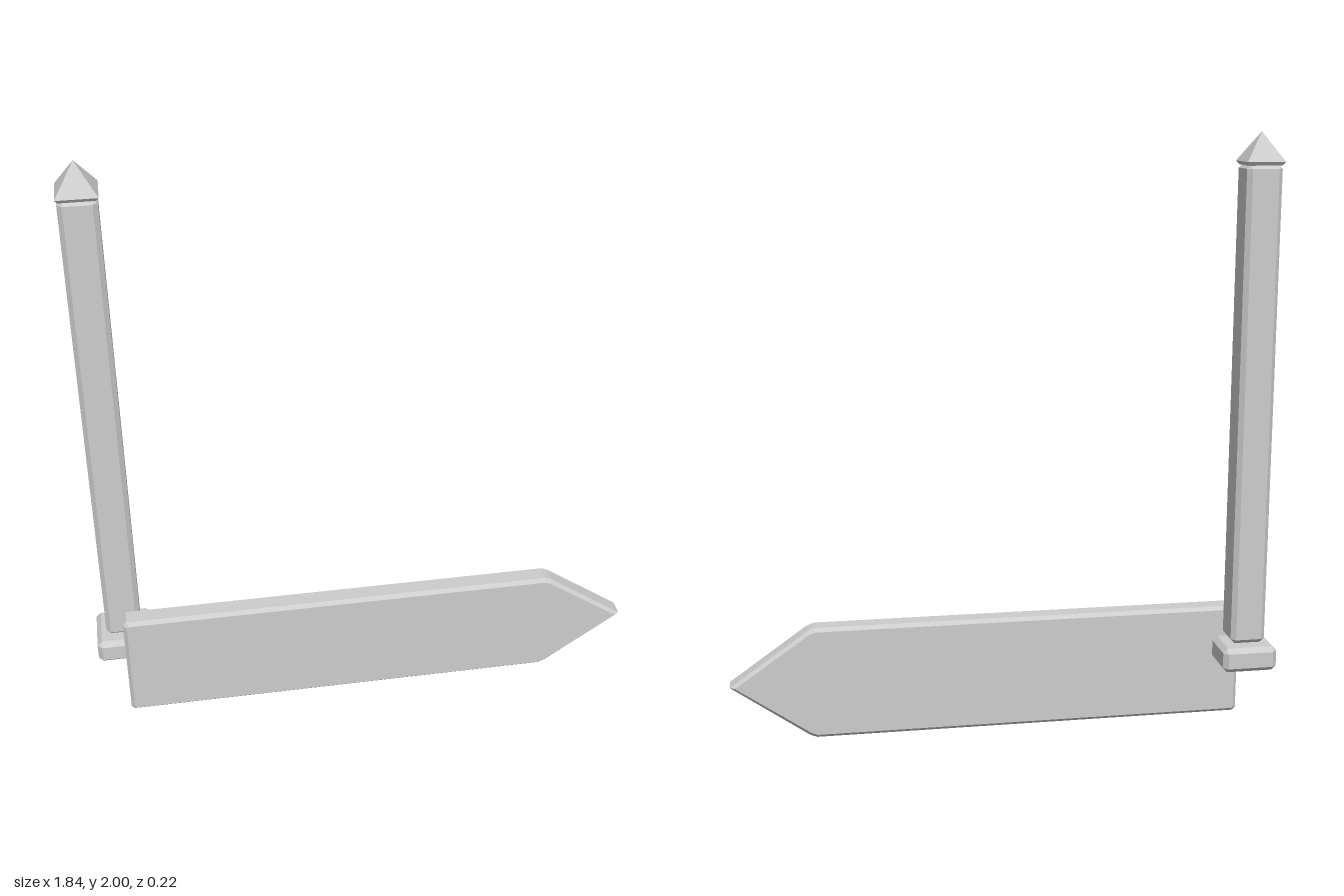
import * as THREE from 'three';
import { ConvexGeometry } from 'three/addons/geometries/ConvexGeometry.js';

const POST_X = -0.827;
const POST_Z = -0.017;

// Box with every edge chamfered by b
function chamferBox(w, h, d, b) {
  const [x, y, z] = [w / 2, h / 2, d / 2];
  const points = [];
  for (const sx of [-1, 1]) for (const sy of [-1, 1]) for (const sz of [-1, 1]) {
    points.push(
      new THREE.Vector3(sx * x, sy * (y - b), sz * (z - b)),
      new THREE.Vector3(sx * (x - b), sy * y, sz * (z - b)),
      new THREE.Vector3(sx * (x - b), sy * (y - b), sz * z)
    );
  }
  return new ConvexGeometry(points);
}

export function createModel() {
  const group = new THREE.Group();
  group.name = 'signpost';
  const grey = new THREE.MeshStandardMaterial({ color: 0xcccccc });
  grey.name = 'light grey';

  const add = (name, geometry, x, y, z) => {
    const mesh = new THREE.Mesh(geometry, grey);
    mesh.name = name;
    mesh.position.set(x, y, z);
    group.add(mesh);
  };

  // Square post and the block under it
  add('post', chamferBox(0.118, 1.61, 0.118, 0.015), POST_X, 1.094, POST_Z);
  add('baseBlock', chamferBox(0.187, 0.085, 0.187, 0.016), POST_X, 0.241, POST_Z);

  // Pyramid cap with a small tapered lip below
  const square = (top, bottom, height) =>
    new THREE.CylinderGeometry(top * Math.SQRT2, bottom * Math.SQRT2, height, 4, 1)
      .rotateY(Math.PI / 4).toNonIndexed();
  const pyramid = square(0, 0.063, 0.094);
  const lip = square(0.063, 0.054, 0.012);
  pyramid.computeVertexNormals();
  lip.computeVertexNormals();
  add('cap', pyramid, POST_X, 1.953, POST_Z);
  add('capLip', lip, POST_X, 1.9, POST_Z);

  // Arrow-shaped board with bevelled edges
  const b = 0.012;
  const left = -0.827, top = 0.388, shoulder = 0.648;
  const outline = new THREE.Shape([
    [left + b, 0], [shoulder - b, 0], [shoulder + b, b * 0.8], [0.92, 0.194],
    [shoulder + b, top - b * 0.8], [shoulder - b, top],
    [left + b, top], [left, top - b], [left, b]
  ].map(([x, y]) => new THREE.Vector2(x, y)));
  const board = new THREE.ExtrudeGeometry(outline, {
    depth: 0.079 - 2 * b, bevelEnabled: true, bevelSegments: 1,
    bevelSize: b, bevelThickness: b, bevelOffset: -b
  });
  add('arrowBoard', board, 0, 0, 0.032 + b);

  return group;
}
